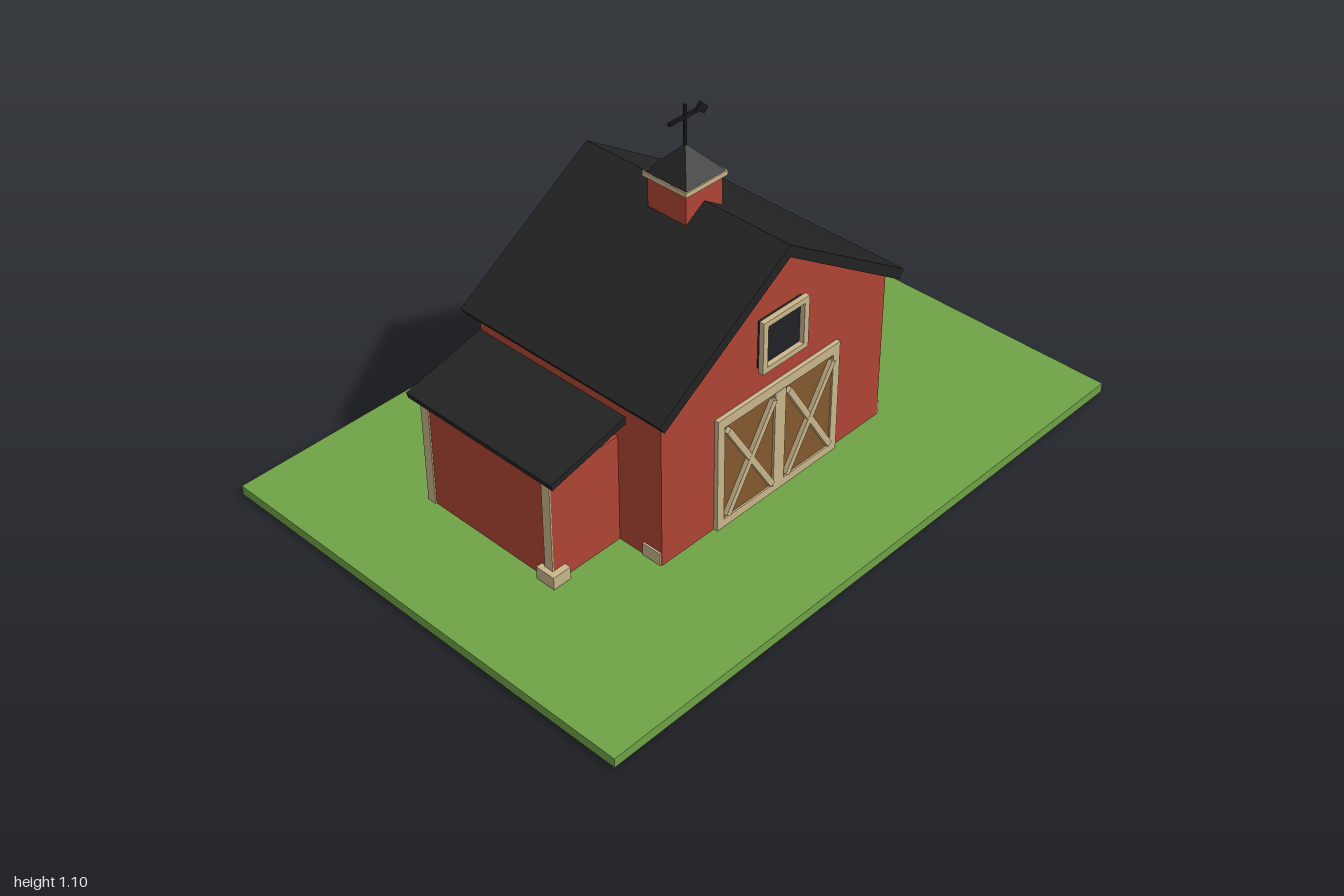
import * as THREE from 'three';

const mat = (name, color) => {
  const m = new THREE.MeshStandardMaterial({ color });
  m.name = name;
  return m;
};

export function createModel() {
  const red = mat('barn red', 0xb04534);
  const green = mat('grass green', 0x70a346);
  const roofing = mat('roof charcoal', 0x232323);
  const cream = mat('trim cream', 0xcab68c);
  const brown = mat('door brown', 0x84592f);
  const glass = mat('window dark', 0x202226);
  const iron = mat('vane black', 0x191919);

  const model = new THREE.Group();
  model.name = 'barn';

  const group = (name, parent = model) => {
    const g = new THREE.Group();
    g.name = name;
    parent.add(g);
    return g;
  };
  const add = (name, geo, material, parent = model) => {
    const mesh = new THREE.Mesh(geo, material);
    mesh.name = name;
    parent.add(mesh);
    return mesh;
  };
  // Box given by its two extreme corners
  const box = (name, material, [x0, y0, z0], [x1, y1, z1], parent = model) => {
    const mesh = add(name, new THREE.BoxGeometry(x1 - x0, y1 - y0, z1 - z0), material, parent);
    mesh.position.set((x0 + x1) / 2, (y0 + y1) / 2, (z0 + z1) / 2);
    return mesh;
  };
  // Profile in x and y, extruded from z0 to z1
  const prism = (name, material, points, z0, z1, parent = model, hole) => {
    const shape = new THREE.Shape(points.map(p => new THREE.Vector2(...p)));
    if (hole) shape.holes.push(new THREE.Path(hole.map(p => new THREE.Vector2(...p))));
    const geo = new THREE.ExtrudeGeometry(shape, { depth: z1 - z0, bevelEnabled: false });
    geo.translate(0, 0, z0);
    return add(name, geo, material, parent);
  };
  const rect = (x0, y0, x1, y1) => [[x0, y0], [x1, y0], [x1, y1], [x0, y1]];

  // Lawn
  box('lawn', green, [-1, 0, -0.72], [1, 0.03, 0.72]);

  // Main barn with gabled ends and overhanging roof
  prism('barnWalls', red,
    [[-0.44, 0.03], [0.44, 0.03], [0.44, 0.516], [0, 0.806], [-0.44, 0.516]], -0.335, 0.335);
  prism('barnRoof', roofing,
    [[0, 0.84], [-0.478, 0.528], [-0.46, 0.502], [0, 0.803], [0.46, 0.502], [0.478, 0.528]],
    -0.367, 0.367);

  // Foot blocks at the front corners
  for (const s of [-1, 1]) {
    const foot = box('cornerFoot', cream, [-0.023, 0.033, 0.27], [0.023, 0.073, 0.334]);
    foot.position.x = s * 0.423;
  }

  // Lean-to shed
  const shed = group('leanTo');
  box('shedWalls', red, [-0.68, 0.03, -0.31], [-0.43, 0.378, 0.18], shed);
  prism('shedRoof', roofing,
    [[-0.7, 0.372], [-0.43, 0.437], [-0.43, 0.459], [-0.705, 0.391]], -0.338, 0.21, shed);
  box('shedBackTrim', cream, [-0.684, 0.03, -0.31], [-0.68, 0.376, -0.28], shed);
  box('shedFrontTrim', cream, [-0.684, 0.03, 0.15], [-0.68, 0.376, 0.18], shed);
  box('shedFoot', cream, [-0.7, 0.033, 0.135], [-0.64, 0.073, 0.2], shed);

  // Double door: frame, panels and crossed braces
  const door = group('doubleDoor');
  prism('doorFrame', cream, rect(-0.242, 0.03, 0.242, 0.4), 0.335, 0.348, door,
    rect(-0.216, 0.056, 0.216, 0.368));
  box('doorCentrePost', cream, [-0.021, 0.05, 0.335], [0.021, 0.37, 0.35], door);
  for (const s of [-1, 1]) {
    const leaf = group('doorLeaf', door);
    leaf.position.set(s * 0.1185, 0.212, 0);
    box('doorPanel', brown, [-0.1, -0.158, 0.335], [0.1, 0.158, 0.343], leaf);
    for (const t of [-1, 1]) {
      const brace = add('doorBrace', new THREE.BoxGeometry(0.34, 0.018, 0.014), cream, leaf);
      brace.position.z = t > 0 ? 0.35 : 0.3495;
      brace.rotation.z = t * Math.atan2(0.3, 0.185);
    }
  }

  // Loft window
  const loft = group('loftWindow');
  box('windowGlass', glass, [-0.082, 0.482, 0.335], [0.082, 0.632, 0.346], loft);
  prism('windowFrame', cream, rect(-0.089, 0.474, 0.089, 0.638), 0.346, 0.362, loft,
    rect(-0.071, 0.491, 0.071, 0.621));

  // Cupola
  const cupola = group('cupola');
  box('cupolaWalls', red, [-0.069, 0.74, -0.069], [0.069, 0.892, 0.069], cupola);
  box('cupolaTrim', cream, [-0.079, 0.888, -0.079], [0.079, 0.902, 0.079], cupola);
  const capGeo = new THREE.ConeGeometry(0.075 * Math.SQRT2, 0.083, 4).toNonIndexed();
  capGeo.rotateY(Math.PI / 4);
  capGeo.computeVertexNormals();
  add('cupolaRoof', capGeo, roofing, cupola).position.y = 0.9435;

  // Weather vane
  const vane = group('weatherVane');
  const pole = add('vanePole', new THREE.CylinderGeometry(0.005, 0.005, 0.13, 8), iron, vane);
  pole.position.y = 1.035;
  box('vaneArm', iron, [-0.06, 1.06, -0.004], [0.06, 1.07, 0.004], vane);
  const tail = add('vaneTail', new THREE.BoxGeometry(0.036, 0.022, 0.008), iron, vane);
  tail.position.set(0.062, 1.066, 0);
  tail.rotation.z = -Math.PI / 4;

  return model;
}
